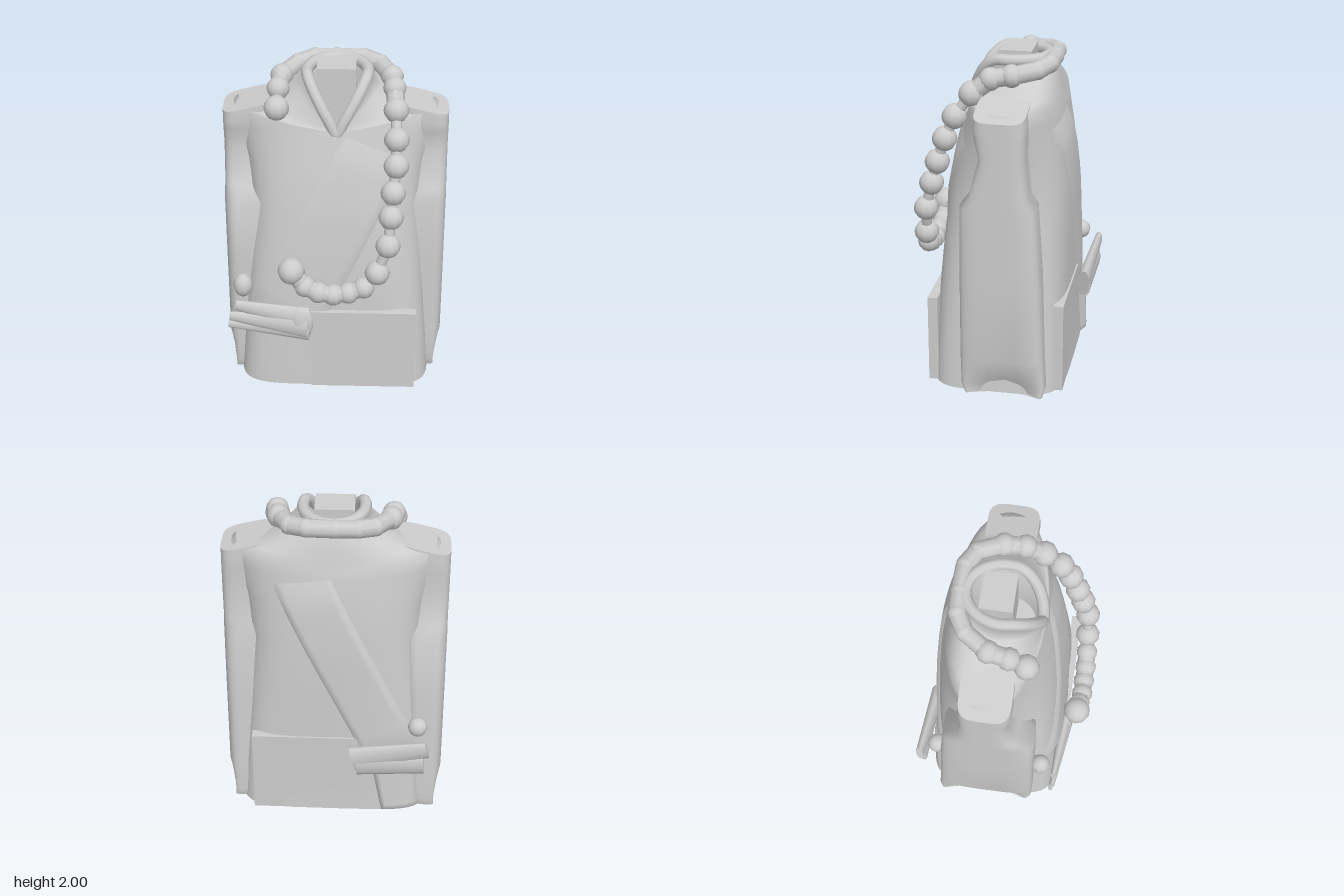
import * as THREE from 'three';

const V = (x, y, z) => new THREE.Vector3(x, y, z);
const SIDES = 48;

// Rounded-rectangle ring at height y; n sets how square it is
function ring(y, cx, a, zf, zb, n) {
  const pts = [];
  for (let j = 0; j < SIDES; j++) {
    const t = (j / SIDES) * Math.PI * 2, c = Math.cos(t), s = Math.sin(t);
    pts.push(V(cx + a * Math.sign(c) * Math.abs(c) ** (2 / n), y,
      (zf + zb) / 2 + ((zf - zb) / 2) * Math.sign(s) * Math.abs(s) ** (2 / n)));
  }
  return pts;
}

// Skin over a stack of rings, closed at both ends
function loft(rings) {
  const pos = [], idx = [], m = SIDES;
  rings.forEach(r => r.forEach(p => pos.push(p.x, p.y, p.z)));
  for (let i = 0; i < rings.length - 1; i++) for (let j = 0; j < m; j++) {
    const a = i * m + j, c = i * m + (j + 1) % m;
    idx.push(a, a + m, c, a + m, c + m, c);
  }
  [rings[0], rings[rings.length - 1]].forEach((r, k) => {
    const base = pos.length / 3, mid = V(0, 0, 0);
    r.forEach(p => { pos.push(p.x, p.y, p.z); mid.addScaledVector(p, 1 / m); });
    pos.push(mid.x, mid.y, mid.z);
    for (let j = 0; j < m; j++) {
      const p = base + j, q = base + (j + 1) % m;
      k ? idx.push(base + m, q, p) : idx.push(base + m, p, q);
    }
  });
  const g = new THREE.BufferGeometry();
  g.setAttribute('position', new THREE.Float32BufferAttribute(pos, 3));
  g.setIndex(idx);
  g.computeVertexNormals();
  return g;
}

// Robe profile: y, half width, front z, back z, squareness
const ROBE = [
  [0, 0.59, 0.39, -0.43, 5], [0.3, 0.57, 0.38, -0.42, 5], [0.6, 0.55, 0.365, -0.415, 4.3],
  [0.9, 0.53, 0.345, -0.41, 3.6], [1.2, 0.51, 0.315, -0.405, 3], [1.45, 0.54, 0.27, -0.39, 2.5],
  [1.66, 0.6, 0.215, -0.36, 2.1],
];

function robeAt(y) {
  let i = 0;
  while (i < ROBE.length - 2 && y > ROBE[i + 1][0]) i++;
  const p = ROBE[i], q = ROBE[i + 1], t = (y - p[0]) / (q[0] - p[0]);
  return p.map((v, k) => v + (q[k] - v) * t);
}

function robeZ(x, y, side) {
  const [, a, zf, zb, n] = robeAt(y);
  const k = Math.max(0, 1 - Math.abs(x / a) ** n) ** (1 / n);
  return (zf + zb) / 2 + side * ((zf - zb) / 2) * k;
}

// Neck opening, dipping to a V at the front
function rimPoint(j) {
  const t = (j / SIDES) * Math.PI * 2, x = 0.18 * Math.cos(t), s = Math.sin(t);
  return V(x + 0.01, s > 0 ? Math.min(1.96, 1.66 + Math.abs(x) * 1.75) : 1.96, -0.03 + 0.22 * s);
}

function robeGeometry() {
  const rings = ROBE.map(([y, a, zf, zb, n]) => ring(y, 0, a, zf, zb, n));
  const shoulder = ring(1.68, 0, 0.61, 0.21, -0.35, 2.1);
  shoulder.forEach(p => { p.y += 0.07 * Math.min(1, Math.abs(p.x) / 0.5); });
  // Shoulders sag between arm and collar, the nape swells a little
  for (let k = 0; k <= 6; k++) {
    const bow = Math.sin(Math.PI * k / 6);
    rings.push(shoulder.map((p, j) => {
      const q = p.clone().lerp(rimPoint(j), k / 6);
      q.y += bow * (Math.max(0, -p.z) * 0.18 - 0.075 * Math.abs(p.x) / 0.61);
      return q;
    }));
  }
  rings.push(shoulder.map((p, j) => {
    const q = rimPoint(j);
    return V(q.x * 0.8, Math.min(q.y, 1.6), -0.03 + (q.z + 0.03) * 0.8);
  }));
  return loft(rings);
}

// Cloth strip laid over the robe between corners a, b (top) and c, d (bottom)
function cloth(a, b, c, d, side, lift) {
  const N = 14, g = new THREE.PlaneGeometry(1, 1, N, N), p = g.attributes.position;
  for (let i = 0; i < p.count; i++) {
    const u = p.getX(i) + 0.5, v = 0.5 - p.getY(i);
    const w = side > 0 ? u : 1 - u;
    const top = [a[0] + (b[0] - a[0]) * w, a[1] + (b[1] - a[1]) * w];
    const low = [c[0] + (d[0] - c[0]) * w, c[1] + (d[1] - c[1]) * w];
    const x = top[0] + (low[0] - top[0]) * v, y = top[1] + (low[1] - top[1]) * v;
    const edge = u < 0.01 || u > 0.99 || v < 0.01 || v > 0.99;
    p.setXYZ(i, x, y, robeZ(x, y, side) + side * (edge ? 0 : lift));
  }
  g.computeVertexNormals();
  return g;
}

export function createModel() {
  const model = new THREE.Group();
  const grey = new THREE.MeshStandardMaterial({ color: 0xcccccc, side: THREE.DoubleSide });
  grey.name = 'light grey';
  const add = (name, geo) => {
    const m = new THREE.Mesh(geo, grey);
    m.name = name;
    model.add(m);
    return m;
  };
  // Tapered, flattened bar from p to q
  const bar = (name, p, q, r0, r1, flat = 1, sides = 10) => {
    const d = q.clone().sub(p);
    const m = add(name, new THREE.CylinderGeometry(r1, r0, d.length(), sides));
    m.position.copy(p).add(q).multiplyScalar(0.5);
    m.quaternion.setFromUnitVectors(V(0, 1, 0), d.normalize());
    m.scale.z = flat;
  };
  const ball = (name, p, r, sx = 1, sy = 1, sz = 1) => {
    const m = add(name, new THREE.SphereGeometry(r, 10, 8));
    m.position.copy(p);
    m.scale.set(sx, sy, sz);
  };

  add('robe', robeGeometry());

  // Neck stump and folded collar edge
  add('neck', new THREE.BoxGeometry(0.23, 0.5, 0.19)).position.set(0.005, 1.75, -0.065);
  const rim = [];
  for (let j = 0; j < SIDES; j += 2) rim.push(rimPoint(j));
  add('collar', new THREE.TubeGeometry(new THREE.CatmullRomCurve3(rim, true), 72, 0.035, 8, true));

  // Sleeves: y, inner x, front z, back z; the right one hangs wider
  const sleeve = [
    [0, 0.5, 0.15, -0.32], [0.06, 0.46, 0.175, -0.335], [0.25, 0.43, 0.18, -0.325], [0.8, 0.42, 0.18, -0.3],
    [1.2, 0.4, 0.175, -0.27], [1.27, 0.4, 0.12, -0.23], [1.5, 0.4, 0.06, -0.21],
    [1.63, 0.4, 0.09, -0.215], [1.7, 0.38, 0.095, -0.215], [1.765, 0.36, 0.09, -0.21],
  ];
  for (const s of [1, -1]) {
    const rings = sleeve.map(([y, xi, zf, zb]) => {
      const wide = s < 0 && y < 1.25 ? 0.05 : 0;
      const r = ring(y, s * (xi + 0.67) / 2, (0.67 - xi) / 2, zf + wide, zb - wide, 4);
      r.forEach(p => {
        // outer side tucks in below, shoulder top slopes outward
        const zn = (p.z - (zf + zb) / 2) / ((zf - zb) / 2 + wide);
        if (y < 0.25 && p.x * s > 0.6) p.x -= s * 0.13 * (1 - y / 0.25) * (1 - zn * zn);
        if (y > 1.65) p.y += 0.25 * (0.53 - Math.abs(p.x));
      });
      return r;
    });
    add(s > 0 ? 'leftSleeve' : 'rightSleeve', loft(rings));
  }

  // Diagonal sash on front and back
  add('frontSash', cloth([0.06, 1.66], [0.42, 1.5], [-0.53, 0.56], [-0.12, 0.34], 1, 0.015));
  add('backSash', cloth([0.02, 1.66], [0.36, 1.6], [-0.52, 0.5], [-0.2, 0.4], -1, 0.02));
  add('backSashTail', cloth([-0.5, 0.45], [-0.22, 0.42], [-0.54, 0.0], [-0.3, 0.0], -1, 0.035));

  // Square apron panels below the waist
  add('frontApron', new THREE.BoxGeometry(0.64, 0.55, 0.06)).position.set(0.18, 0.275, 0.37);
  add('backApron', new THREE.BoxGeometry(0.66, 0.56, 0.06)).position.set(0.17, 0.28, -0.395);

  // Front knot with three pointed ends and a small loop
  bar('frontKnotEnd', V(-0.16, 0.5, 0.39), V(-0.6, 0.57, 0.36), 0.08, 0.035, 0.5);
  bar('frontKnotEnd', V(-0.16, 0.45, 0.4), V(-0.64, 0.49, 0.36), 0.085, 0.03, 0.5);
  bar('frontKnotEnd', V(-0.15, 0.41, 0.4), V(-0.65, 0.425, 0.35), 0.06, 0.025, 0.5);
  ball('frontKnot', V(-0.2, 0.47, 0.39), 0.11, 0.75, 1.05, 0.4);
  ball('frontLoop', V(-0.56, 0.66, 0.27), 0.07, 0.85, 1.1, 0.9);

  // Back knot behind the right hip
  bar('backKnotEnd', V(-0.12, 0.43, -0.46), V(-0.57, 0.55, -0.5), 0.1, 0.06, 0.4);
  bar('backKnotEnd', V(-0.14, 0.4, -0.47), V(-0.55, 0.43, -0.49), 0.08, 0.07, 0.4);
  ball('backLoop', V(-0.51, 0.64, -0.39), 0.06);

  // Bead strand: x, y, z, running from the chest round the neck to the right shoulder
  const beads = [
    [-0.25, 0.88, 0.45], [-0.17, 0.78, 0.46], [-0.09, 0.745, 0.47], [0, 0.73, 0.47], [0.09, 0.745, 0.47],
    [0.18, 0.78, 0.465], [0.26, 0.88, 0.455], [0.32, 1.06, 0.44], [0.335, 1.23, 0.4], [0.345, 1.37, 0.36],
    [0.36, 1.52, 0.31], [0.36, 1.66, 0.25], [0.355, 1.8, 0.15], [0.345, 1.89, 0.04], [0.33, 1.91, -0.08],
    [0.26, 1.93, -0.22], [0.16, 1.945, -0.275], [0, 1.945, -0.28], [-0.13, 1.945, -0.275], [-0.23, 1.93, -0.22],
    [-0.32, 1.91, -0.08], [-0.335, 1.88, 0.04], [-0.34, 1.8, 0.14],
  ];
  const strand = beads.map(b => V(...b));
  strand.forEach((p, i) => {
    const nape = i > 14 && i < 20, neck = i > 12 && i < 22, low = i > 0 && i < 6;
    ball('bead', p, i === 0 ? 0.082 : nape ? 0.055 : neck ? 0.068 : low ? 0.066 : 0.075);
    const r = neck || low ? 0.054 : 0.032;
    if (i) bar('beadLink', strand[i - 1], p, r, r, 1, 8);
  });

  return model;
}
